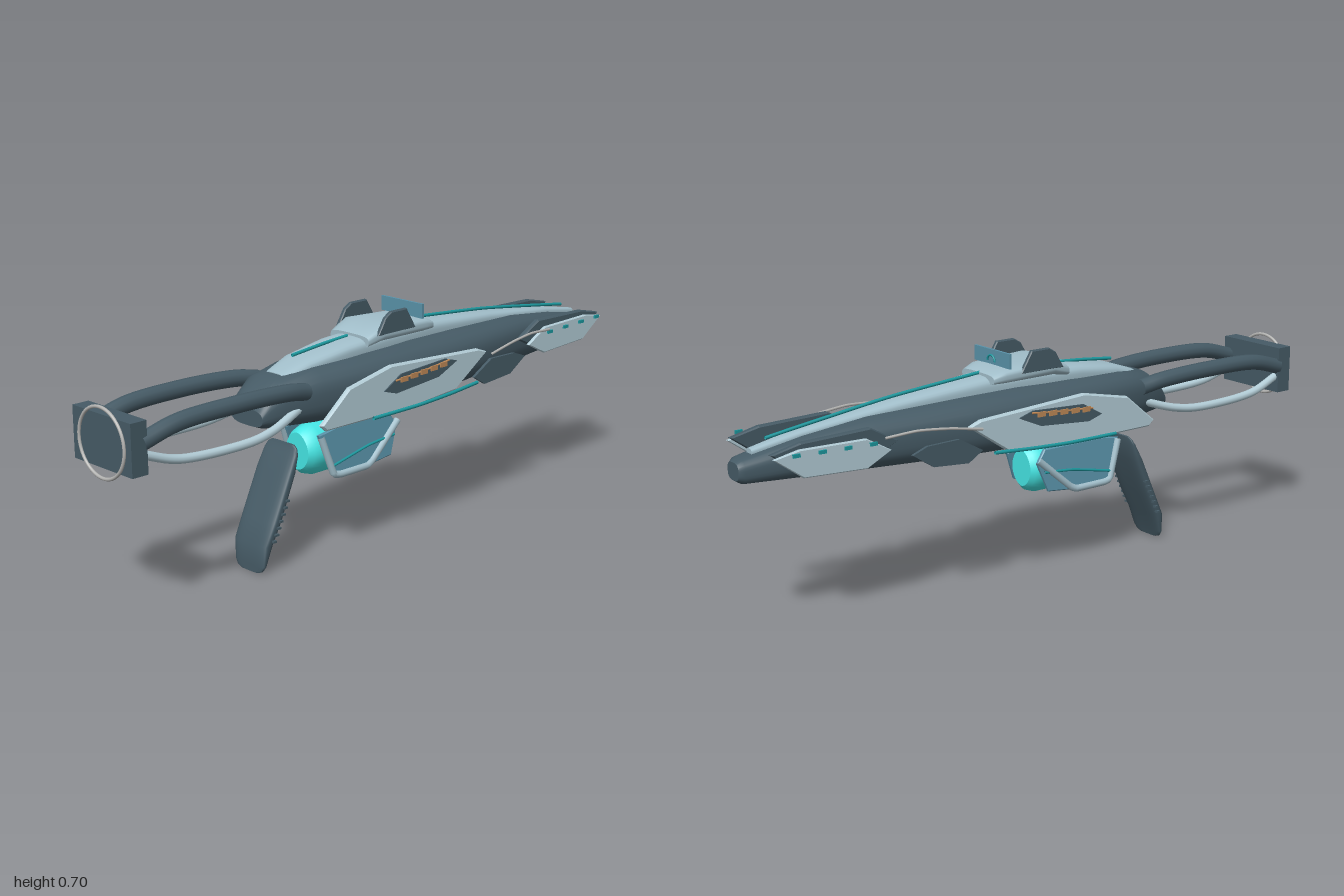
import * as THREE from 'three';

const mat = (name, color, side = THREE.FrontSide) => {
  const m = new THREE.MeshStandardMaterial({ color, side });
  m.name = name;
  return m;
};

// Loft of rounded (superellipse) sections; stations are [z, halfWidth, bottom, top], z ascending
function loft(stations, power = 3, segs = 32) {
  const pos = [], idx = [];
  const ring = ([z, w, lo, hi]) => {
    for (let j = 0; j < segs; j++) {
      const a = (j / segs) * Math.PI * 2, c = Math.cos(a), s = Math.sin(a);
      const r = Math.pow(Math.abs(c) ** power + Math.abs(s) ** power, -1 / power);
      pos.push(w * r * c, (lo + hi) / 2 + ((hi - lo) / 2) * r * s, z);
    }
  };
  stations.forEach(ring);
  for (let i = 0; i < stations.length - 1; i++) {
    for (let j = 0; j < segs; j++) {
      const a = i * segs + j, b = i * segs + (j + 1) % segs;
      idx.push(a, b, a + segs, b, b + segs, a + segs);
    }
  }
  // end caps with their own corners
  [stations[0], stations[stations.length - 1]].forEach((st, end) => {
    const base = pos.length / 3;
    ring(st);
    pos.push(0, (st[2] + st[3]) / 2, st[0]);
    for (let j = 0; j < segs; j++) {
      const a = base + j, b = base + (j + 1) % segs;
      idx.push(base + segs, end ? a : b, end ? b : a);
    }
  });
  const g = new THREE.BufferGeometry();
  g.setAttribute('position', new THREE.Float32BufferAttribute(pos, 3));
  g.setIndex(idx);
  g.computeVertexNormals();
  return g;
}

// Flat plate from a [z, y] outline, centred on x = 0, with optional chamfer
function plate(outline, thick, bevel = 0) {
  const g = new THREE.ExtrudeGeometry(new THREE.Shape(outline.map(p => new THREE.Vector2(...p))), {
    depth: thick - 2 * bevel, bevelEnabled: bevel > 0, bevelThickness: bevel,
    bevelSize: bevel, bevelOffset: -bevel, bevelSegments: 1,
  });
  g.translate(0, 0, bevel - thick / 2);
  return g.rotateY(-Math.PI / 2);
}

// Round bar through points, mirrored by s
function bar(points, radius, s = 1, tension = 0.3) {
  const curve = new THREE.CatmullRomCurve3(
    points.map(([x, y, z]) => new THREE.Vector3(x * s, y, z)), false, 'catmullrom', tension);
  return new THREE.TubeGeometry(curve, 40, radius, 10);
}

export function createModel() {
  const root = new THREE.Group();
  root.name = 'futuristicRifle';
  const dark = mat('darkSlate', 0x465b66);
  const light = mat('paleBlueGrey', 0xa2bfcb);
  const pale = mat('paleArmour', 0xb4ced8);
  const blue = mat('steelBlue', 0x5a93aa);
  const cyan = mat('brightCyan', 0x4af4f2);
  const teal = mat('teal', 0x1c989e, THREE.DoubleSide);
  const grey = mat('warmGrey', 0xb2b2b0);
  const copper = mat('copper', 0xc08a58);

  const add = (name, geo, material, x = 0, y = 0, z = 0) => {
    const m = new THREE.Mesh(geo, material);
    m.name = name;
    m.position.set(x, y, z);
    root.add(m);
    return m;
  };
  const box = (w, h, d) => new THREE.BoxGeometry(w, h, d);

  // Hull and top cover
  add('hull', loft([
    [-1, 0.03, 0.46, 0.51], [-0.985, 0.042, 0.45, 0.52], [-0.8, 0.072, 0.44, 0.555],
    [-0.6, 0.1, 0.43, 0.58], [-0.3, 0.135, 0.416, 0.59], [-0.1, 0.146, 0.41, 0.595],
    [0.1, 0.142, 0.41, 0.592], [0.3, 0.12, 0.416, 0.585], [0.42, 0.095, 0.425, 0.565],
    [0.47, 0.077, 0.43, 0.53], [0.495, 0.066, 0.44, 0.49],
  ]), dark);
  add('topCover', loft([
    [-0.95, 0.014, 0.51, 0.54], [-0.8, 0.024, 0.53, 0.568], [-0.5, 0.042, 0.55, 0.605],
    [-0.2, 0.06, 0.56, 0.632], [0, 0.07, 0.56, 0.634], [0.15, 0.07, 0.56, 0.624],
    [0.3, 0.06, 0.54, 0.602], [0.39, 0.045, 0.52, 0.572],
  ], 3.5), light);
  add('frontSpineStrip', bar([[0, 0.64, -0.15], [0, 0.612, -0.5], [0, 0.574, -0.8], [0, 0.56, -0.9]], 0.005), teal);
  add('rearSpineStrip', bar([[0, 0.629, 0.1], [0, 0.622, 0.2], [0, 0.61, 0.32]], 0.005), teal);

  // Sight
  add('sightBase', loft([
    [-0.19, 0.078, 0.61, 0.64], [-0.15, 0.09, 0.61, 0.655], [0.03, 0.09, 0.61, 0.665], [0.09, 0.08, 0.6, 0.636],
  ], 3.8), light);
  add('sightScreen', box(0.17, 0.045, 0.008), blue, 0, 0.677, -0.135);
  add('sightRing', new THREE.TorusGeometry(0.018, 0.003, 8, 24, Math.PI), teal, 0, 0.665, -0.142);

  // Shoulder plate and ring
  add('shoulderPlate', box(0.25, 0.148, 0.052), dark, 0, 0.504, 0.967);
  add('shoulderRing', new THREE.TorusGeometry(0.098, 0.005, 10, 64), grey, 0, 0.5, 0.995);

  // Grip, lofted upright
  add('grip', loft([
    [0.002, 0.036, -0.5, -0.49], [0.008, 0.052, -0.5, -0.488], [0.025, 0.063, -0.5, -0.482],
    [0.086, 0.069, -0.499, -0.458], [0.15, 0.072, -0.468, -0.426], [0.283, 0.072, -0.406, -0.37],
    [0.335, 0.068, -0.376, -0.358], [0.352, 0.06, -0.367, -0.356], [0.36, 0.048, -0.364, -0.355],
  ], 4).rotateX(-Math.PI / 2), dark);
  for (let i = 0; i < 7; i++) {
    const y = 0.1 + i * 0.0185;
    add('gripRib', box(0.158, 0.006, 0.012), dark, 0, y, 0.465 - (y - 0.1) * 0.47);
  }

  // Power cell
  add('powerCell', loft([
    [-0.03, 0.045, 0.262, 0.375], [-0.018, 0.056, 0.248, 0.386], [0.01, 0.07, 0.238, 0.396],
    [0.26, 0.07, 0.238, 0.396], [0.29, 0.06, 0.248, 0.386], [0.305, 0.048, 0.262, 0.375],
  ], 1.8), cyan);

  for (const s of [1, -1]) {
    // Stock rails
    add('upperStockRail', bar([[0.1, 0.53, 0.36], [0.11, 0.545, 0.45], [0.115, 0.552, 0.62],
      [0.113, 0.547, 0.82], [0.108, 0.515, 0.95]], 0.025, s, 0.5), dark);
    add('lowerStockRail', bar([[0.09, 0.48, 0.38], [0.11, 0.445, 0.5], [0.118, 0.434, 0.62],
      [0.113, 0.442, 0.82], [0.105, 0.482, 0.95]], 0.013, s, 0.5), pale);

    // Sight wings
    add('sightWing', plate([[0.06, 0.635], [0.03, 0.685], [0.005, 0.7], [-0.06, 0.7], [-0.1, 0.635]], 0.014, 0.003),
      dark, s * 0.084);

    // Middle side armour with floating inset and contacts
    add('sideArmour', plate([[0.36, 0.44], [0.34, 0.422], [0, 0.42], [-0.2, 0.435], [-0.34, 0.53],
      [-0.3, 0.545], [0.08, 0.565], [0.25, 0.53]], 0.018, 0.005), pale, s * 0.156);
    add('armourInset', plate([[0.13, 0.5], [0.08, 0.485], [-0.1, 0.5], [-0.18, 0.535],
      [-0.13, 0.55], [0.06, 0.54]], 0.004), dark, s * 0.183);
    for (let i = 0; i < 5; i++) {
      add('copperContact', box(0.004, 0.015, 0.028), copper, s * 0.197, 0.527 + i * 0.003, 0.06 - i * 0.042);
    }
    add('insetRail', bar([[0.189, 0.525, 0.09], [0.191, 0.534, -0.03], [0.189, 0.545, -0.14]], 0.003, s), copper);
    add('sideGlowRail', bar([[0.19, 0.432, 0.18], [0.197, 0.436, 0], [0.197, 0.443, -0.14], [0.188, 0.45, -0.27]],
      0.0055, s), teal);
    add('sideWire', bar([[0.197, 0.53, -0.32], [0.19, 0.548, -0.43], [0.181, 0.556, -0.53], [0.172, 0.55, -0.63]],
      0.004, s), grey);
    add('lowerSidePlate', plate([[-0.29, 0.455], [-0.37, 0.5], [-0.48, 0.498], [-0.53, 0.48],
      [-0.46, 0.435], [-0.34, 0.425]], 0.01), dark, s * 0.153);

    // Muzzle armour: dark inner fin, pale outer plate, glowing studs
    add('muzzleFin', plate([[-0.55, 0.52], [-0.64, 0.57], [-0.86, 0.565], [-0.95, 0.545],
      [-0.86, 0.48], [-0.65, 0.47]], 0.02, 0.004), dark, s * 0.11);
    add('muzzlePlate', plate([[-0.58, 0.5], [-0.66, 0.545], [-0.87, 0.55], [-0.95, 0.535],
      [-0.86, 0.47], [-0.66, 0.46]], 0.012, 0.003), pale, s * 0.125);
    for (let i = 0; i < 4; i++) {
      add('muzzleStud', box(0.006, 0.01, 0.022), teal, s * 0.155, 0.535 + i * 0.003, -0.655 - i * 0.08);
    }

    // Power cell cover and frame
    const cover = add('cellCover', plate([[0.29, 0.06], [0.22, 0.07], [0, 0.07], [-0.03, 0.03],
      [0.005, -0.06], [0.1, -0.07], [0.24, -0.065]], 0.014, 0.003), blue, s * 0.078, 0.318);
    cover.rotation.z = s * 0.12;
    add('cellFrame', bar([[0.08, 0.375, 0.285], [0.09, 0.257, 0.245], [0.092, 0.25, 0.22], [0.092, 0.25, 0.11],
      [0.09, 0.262, 0.085], [0.082, 0.36, -0.03]], 0.011, s, 0.1), light);
    add('cellGlowRail', bar([[0.091, 0.28, 0.25], [0.088, 0.31, 0.1], [0.088, 0.32, -0.01]], 0.004, s), teal);
  }
  return root;
}
